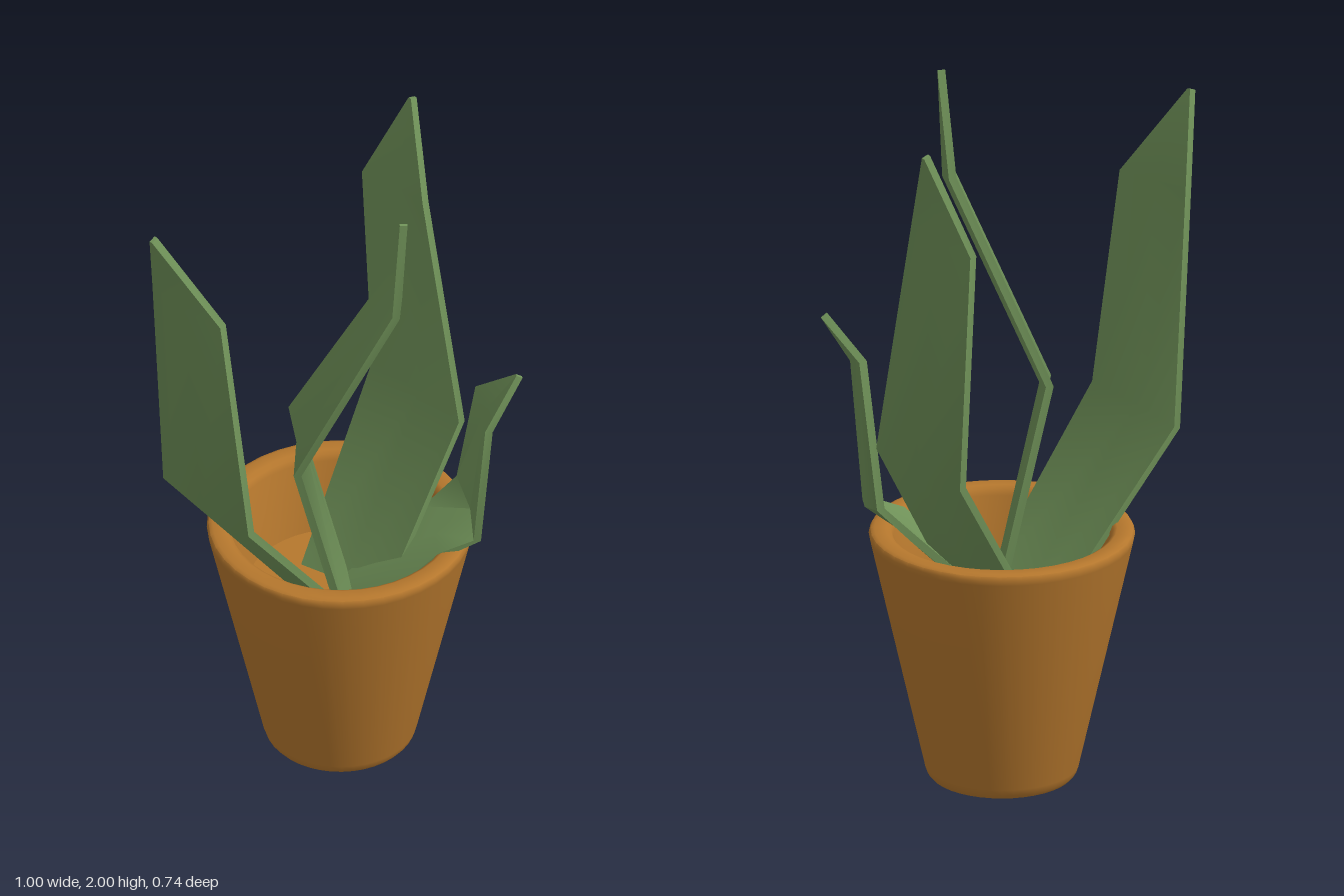
import * as THREE from 'three';
import { toCreasedNormals } from 'three/addons/utils/BufferGeometryUtils.js';

const THICKNESS = 0.011; // half thickness of a leaf
const BULGE = 0.015; // how far the midrib is pushed outwards

const clay = new THREE.MeshStandardMaterial({ color: 0xb5772d });
const green = new THREE.MeshStandardMaterial({ color: 0x6f9158 });

// A bent, slightly cupped slab: each rung is [left xyz, right xyz], from base to tip
function leafGeometry(rungs) {
  const L = rungs.map((r) => new THREE.Vector3(...r[0]));
  const R = rungs.map((r) => new THREE.Vector3(...r[1]));
  const M = L.map((l, i) => l.clone().add(R[i]).multiplyScalar(0.5));
  const last = rungs.length - 1;
  const rings = L.map((l, i) => {
    const along = M[Math.min(i + 1, last)].clone().sub(M[Math.max(i - 1, 0)]);
    const n = R[i].clone().sub(l).cross(along).normalize();
    const rib = M[i].clone().addScaledVector(n, i < last ? BULGE : 0);
    const shift = (p, s) => p.clone().addScaledVector(n, s * THICKNESS);
    return [shift(l, 1), shift(rib, 1), shift(R[i], 1), shift(R[i], -1), shift(rib, -1), shift(l, -1)];
  });

  const points = [];
  const quad = (a, b, c, d) => points.push(a, b, c, a, c, d);
  for (let i = 0; i < last; i++) {
    for (let k = 0; k < 6; k++) {
      const m = (k + 1) % 6;
      quad(rings[i][k], rings[i][m], rings[i + 1][m], rings[i + 1][k]);
    }
  }
  const [a, b, c, d, e, f] = rings[last];
  quad(a, b, e, f);
  quad(b, c, d, e);
  const geometry = new THREE.BufferGeometry().setFromPoints(points);
  return toCreasedNormals(geometry, 0.75);
}

// Adds a tiny end rung at the tip, parallel to the rung below it
function leaf(name, rungs, tip) {
  const [l, r] = rungs[rungs.length - 1];
  const end = [-0.02, 0.02].map((s) => tip.map((v, i) => v + (r[i] - l[i]) * s));
  const mesh = new THREE.Mesh(leafGeometry([...rungs, end]), green);
  mesh.name = name;
  return mesh;
}

export function createModel() {
  const group = new THREE.Group();
  group.name = 'pottedPlant';

  // Tapered pot with rounded rim, hollow down to the filling
  const profile = [
    [0, 0], [0.2, 0], [0.21, 0.012], [0.216, 0.03],
    [0.369, 0.705], [0.372, 0.72], [0.367, 0.731], [0.356, 0.735],
    [0.322, 0.735], [0.31, 0.728], [0.303, 0.71], [0.262, 0.5], [0, 0.5],
  ].map(([x, y]) => new THREE.Vector2(x, y));
  const pot = new THREE.Mesh(toCreasedNormals(new THREE.LatheGeometry(profile, 40), 0.8), clay);
  pot.name = 'pot';
  pot.position.x = 0.097;
  group.add(pot);

  // Leaves: base, lower bend, upper bend, then tip (bases sit inside the filling)
  group.add(leaf('outerRightLeaf', [
    [[0, 0.48, -0.11], [0.08, 0.48, 0.17]],
    [[-0.39, 0.99, -0.12], [-0.32, 1.01, 0.25]],
    [[-0.43, 1.69, -0.11], [-0.35, 1.68, 0.14]],
  ], [-0.495, 1.945, 0]));

  group.add(leaf('outerLeftLeaf', [
    [[0.16, 0.48, 0.125], [0.05, 0.48, -0.14]],
    [[0.44, 1.01, 0.08], [0.365, 1.0, -0.29]],
    [[0.39, 1.72, -0.04], [0.33, 1.69, -0.285]],
  ], [0.43, 1.975, -0.19]));

  group.add(leaf('middleLeaf', [
    [[0.04, 0.48, 0.13], [0.14, 0.48, -0.04]],
    [[-0.13, 1.09, 0.17], [-0.03, 1.15, -0.045]],
    [[0.085, 1.69, 0.35], [0.15, 1.72, 0.2]],
  ], [0.12, 1.995, 0.33]));

  // The short leaf rests on the rim before turning up
  group.add(leaf('shortFrontLeaf', [
    [[0.06, 0.48, 0.15], [0.1, 0.48, -0.03]],
    [[0.275, 0.725, 0.265], [0.34, 0.72, 0.05]],
    [[0.37, 0.765, 0.3], [0.435, 0.82, 0.08]],
    [[0.38, 1.18, 0.35], [0.43, 1.22, 0.2]],
  ], [0.487, 1.325, 0.33]));

  return group;
}
